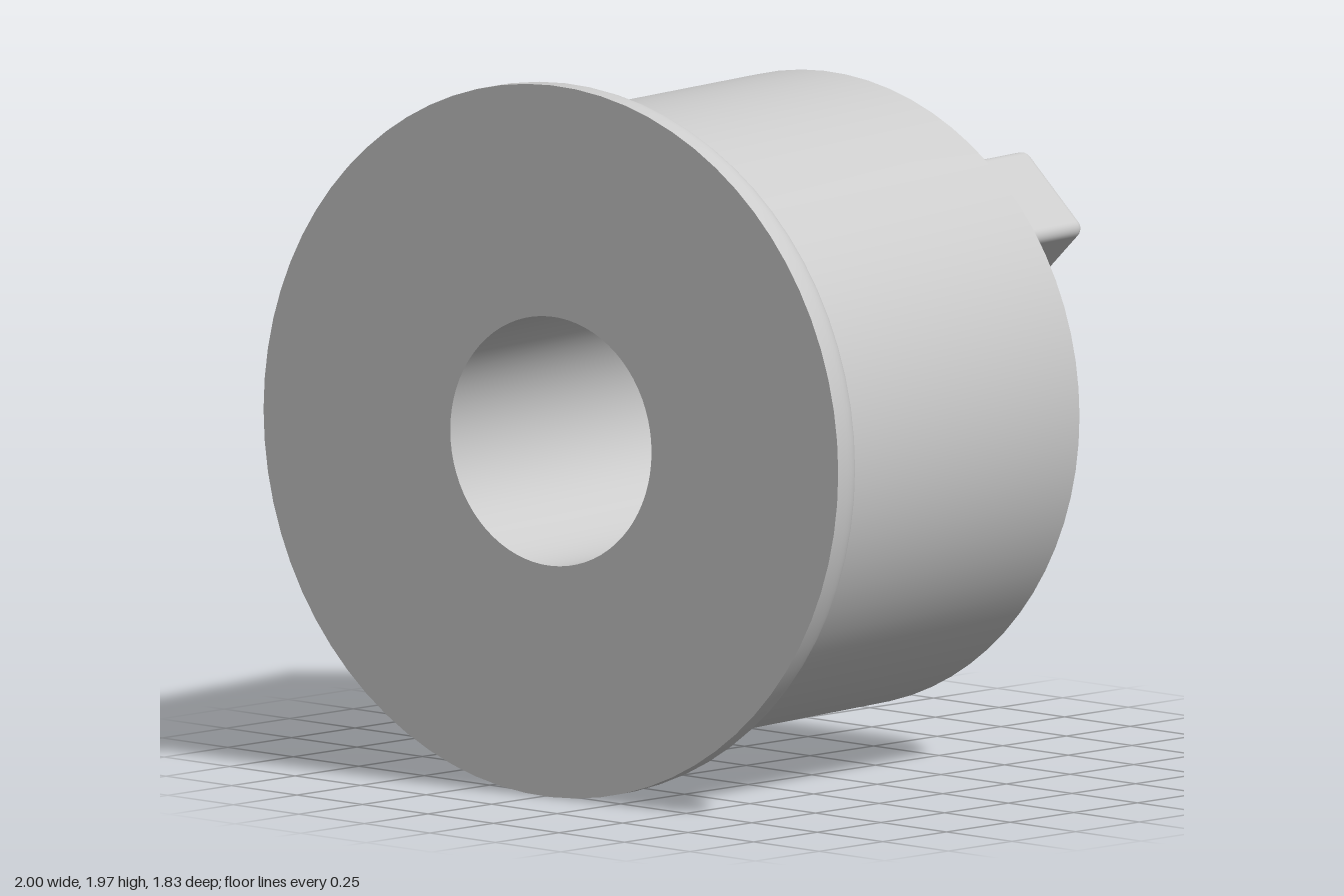
import * as THREE from 'three';
import { toCreasedNormals } from 'three/addons/utils/BufferGeometryUtils.js';
import { RoundedBoxGeometry } from 'three/addons/geometries/RoundedBoxGeometry.js';

const material = new THREE.MeshStandardMaterial({ color: 0xcccccc });

function addPart(parent, geometry, name) {
  const mesh = new THREE.Mesh(geometry, material);
  mesh.name = name;
  parent.add(mesh);
  return mesh;
}

export function createModel() {
  const model = new THREE.Group();
  model.name = 'flangedBushing';

  // Local frame: the axis runs along z, the flange face lies at z = 0
  const bushing = new THREE.Group();
  bushing.name = 'bushing';
  bushing.position.set(0.025, 0.985, 0.793);
  bushing.rotation.y = 0.125;
  model.add(bushing);

  const length = 1.36, bore = 0.345, body = 0.877;
  const flange = 0.985, flangeDepth = 0.14, fillet = 0.095;

  // Closed profile: bore, countersink, back face, chamfer, barrel, flange
  const profile = [
    [bore, 0], [bore, -length + 0.09], [bore + 0.09, -length],
    [0.756, -length], [body, -length + 0.12], [body, -flangeDepth],
  ];
  for (let i = 0; i <= 8; i++) {
    const a = (i / 8) * Math.PI / 2;
    profile.push([
      flange - fillet + fillet * Math.sin(a),
      -flangeDepth + fillet - fillet * Math.cos(a),
    ]);
  }
  profile.push([flange, 0], [bore, 0]);
  const points = profile.map(([r, y]) => new THREE.Vector2(r, y));
  const lathe = new THREE.LatheGeometry(points, 72).rotateX(Math.PI / 2);
  addPart(bushing, toCreasedNormals(lathe, 0.5), 'flangedBody');

  // Square drive tab on the back face, turned to face the axis
  const tabEnd = 1.652, tabStart = 1.3;
  const tab = addPart(
    bushing,
    new RoundedBoxGeometry(0.294, 0.294, tabEnd - tabStart, 4, 0.03),
    'driveTab'
  );
  tab.position.set(0.389, 0.445, -(tabStart + tabEnd) / 2);
  tab.rotation.z = Math.PI / 4;

  return model;
}
